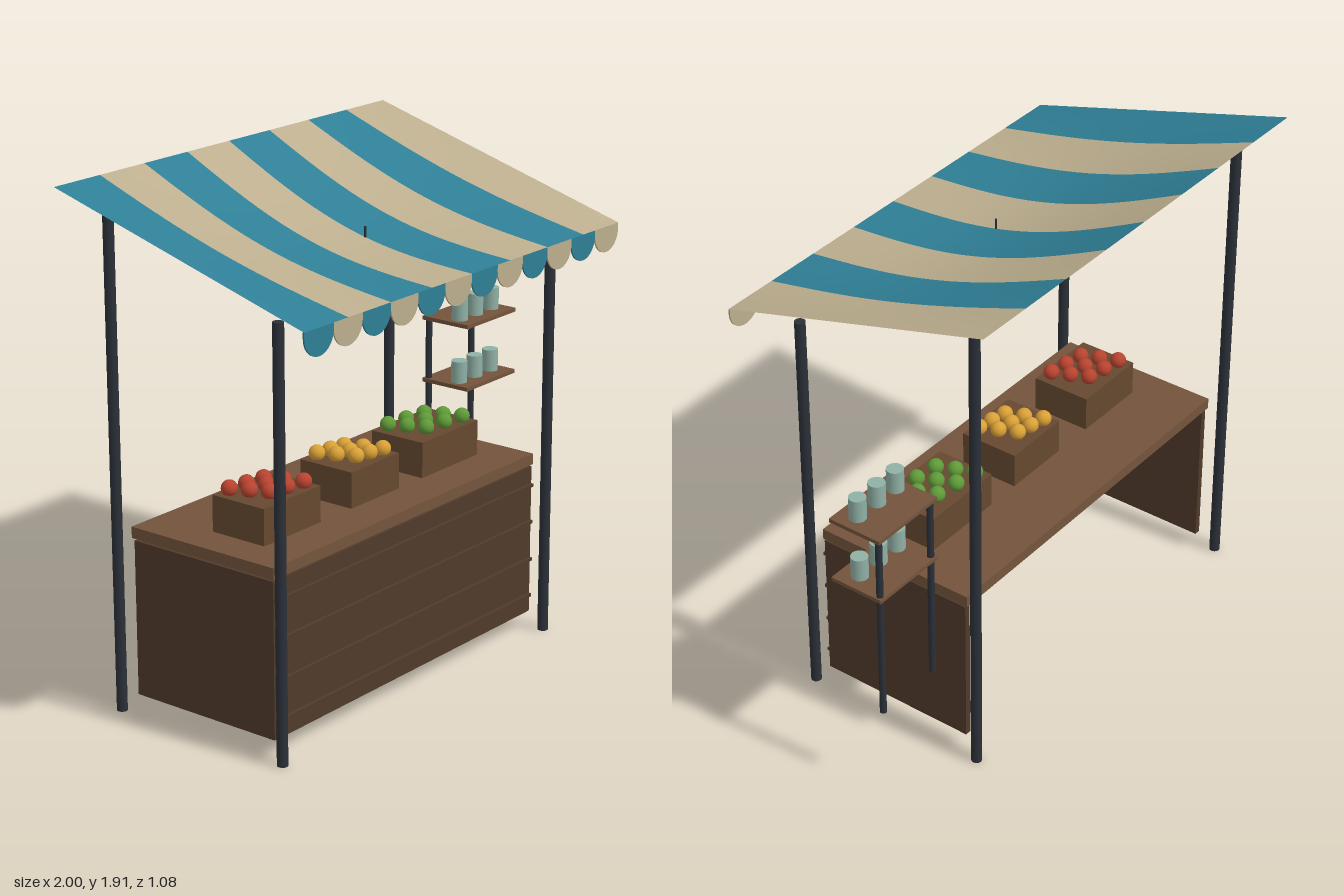
import * as THREE from 'three';

const mat = (color, side = THREE.FrontSide) =>
  new THREE.MeshStandardMaterial({ color, side });
const metal = mat(0x2b3038);
const darkWood = mat(0x503a2a);
const topWood = mat(0x74543c);
const crateWood = mat(0x66482f);
const teal = mat(0x2f7f96, THREE.DoubleSide);
const cream = mat(0xbcae8e, THREE.DoubleSide);
const jarGlaze = mat(0x8fb0a5);
const lampShade = mat(0xe6cb9a);

const CX = -0.11; // middle of the stall; the side shelf shifts it off x = 0

function add(parent, name, geometry, material, x = 0, y = 0, z = 0) {
  const mesh = new THREE.Mesh(geometry, material);
  mesh.name = name;
  mesh.position.set(x, y, z);
  parent.add(mesh);
  return mesh;
}

// Box given by its limits on each axis
function box(parent, name, material, [x0, x1], [y0, y1], [z0, z1]) {
  return add(parent, name, new THREE.BoxGeometry(x1 - x0, y1 - y0, z1 - z0), material,
    (x0 + x1) / 2, (y0 + y1) / 2, (z0 + z1) / 2);
}

// Upright cylinder from y0 to y1
function rod(parent, name, material, r, x, z, y0, y1, sides = 12) {
  return add(parent, name, new THREE.CylinderGeometry(r, r, y1 - y0, sides), material,
    x, (y0 + y1) / 2, z);
}

function group(parent, name) {
  const g = new THREE.Group();
  g.name = name;
  parent.add(g);
  return g;
}

// Striped cloth sloping to the front and sagging in the middle, with a scalloped hem
function buildCanopy(parent) {
  const canopy = group(parent, 'canopy');
  const x0 = -1, width = 1.78, zEdge = 0.54, yFront = 1.6, yBack = 1.907, sag = 0.08;
  const stripes = 8, scallops = 12;

  for (let i = 0; i < stripes; i++) {
    const geo = new THREE.PlaneGeometry(1, 1, 4, 20);
    const p = geo.attributes.position;
    for (let k = 0; k < p.count; k++) {
      const u = (i + p.getX(k) + 0.5) / stripes;
      const v = p.getY(k) + 0.5; // 0 front, 1 back
      const y = yFront + (yBack - yFront) * v - sag * Math.sin(Math.PI * u) * Math.sin(Math.PI * v);
      p.setXYZ(k, x0 + width * u, y, zEdge - 2 * zEdge * v);
    }
    geo.computeVertexNormals();
    add(canopy, 'canopyStripe', geo, i % 2 ? cream : teal);
  }

  const w = width / scallops, r = w / 2, drop = 0.021;
  const flap = new THREE.Shape();
  flap.moveTo(-r, 0);
  flap.lineTo(-r, -drop);
  flap.absarc(0, -drop, r, Math.PI, Math.PI * 2, false);
  flap.lineTo(r, 0);
  flap.closePath();
  const flapGeo = new THREE.ExtrudeGeometry(flap, { depth: 0.006, bevelEnabled: false, curveSegments: 12 });
  for (let i = 0; i < scallops; i++) {
    add(canopy, 'canopyScallop', flapGeo, i % 2 ? cream : teal, x0 + w * (i + 0.5), yFront, zEdge - 0.006);
  }
}

// Counter open at the back and below
function buildCounter(parent) {
  const counter = group(parent, 'counter');
  const body = [0.07, 0.65];
  box(counter, 'counterTop', topWood, [CX - 0.75, CX + 0.75], [0.658, 0.7], [-0.36, 0.283]);
  box(counter, 'frontPanel', darkWood, [CX - 0.74, CX + 0.74], body, [0.255, 0.28]);
  for (const s of [-1, 1]) {
    const x = CX + s * 0.735;
    box(counter, 'sidePanel', darkWood, [x - 0.0125, x + 0.0125], body, [-0.35, 0.279]);
  }
  for (const y of [0.14, 0.285, 0.435, 0.58]) {
    box(counter, 'frontBatten', darkWood, [CX - 0.74, CX + 0.74], [y - 0.006, y + 0.006], [0.278, 0.294]);
  }
}

// Crate heaped with three staggered rows of fruit
function buildCrate(parent, x, width, color) {
  const crate = group(parent, 'fruitCrate');
  const z = 0.01, half = width / 2;
  box(crate, 'crate', crateWood, [x - half, x + half], [0.7, 0.835], [z - 0.116, z + 0.116]);
  const fruit = new THREE.SphereGeometry(0.03, 16, 12);
  const skin = mat(color);
  const step = (width - 0.15) / 2;
  for (let row = -1; row <= 1; row++) {
    for (let col = -1; col <= 1; col++) {
      add(crate, 'fruit', fruit, skin,
        x + col * step + row * 0.03,
        0.856,
        z + row * 0.065 + col * 0.012);
    }
  }
}

// Two-tier side shelf with jars
function buildShelf(parent) {
  const shelf = group(parent, 'sideShelf');
  for (const x of [0.708, 0.982]) rod(shelf, 'shelfPost', metal, 0.0125, x, -0.258, 0.37, 1.11);
  for (const y of [0.86, 1.107]) {
    box(shelf, 'shelfBoard', topWood, [0.69, 1], [y, y + 0.015], [-0.275, -0.062]);
    for (const x of [0.738, 0.836, 0.937]) {
      rod(shelf, 'jar', jarGlaze, 0.031, x, -0.135, y + 0.015, y + 0.1, 16);
    }
  }
}

function buildLantern(parent) {
  const lantern = group(parent, 'lantern');
  const z = 0.08;
  rod(lantern, 'lanternCord', metal, 0.004, CX, z, 1.525, 1.692, 8);
  rod(lantern, 'lanternCap', metal, 0.068, CX, z, 1.512, 1.529, 20);
  rod(lantern, 'lanternShade', lampShade, 0.055, CX, z, 1.387, 1.513, 20);
}

export function createModel() {
  const stall = new THREE.Group();
  stall.name = 'marketStall';

  for (const s of [-1, 1]) {
    rod(stall, 'frontPost', metal, 0.02, CX + s * 0.768, 0.33, 0, 1.57);
    rod(stall, 'backPost', metal, 0.02, CX + s * 0.768, -0.412, 0, 1.855);
  }
  buildCanopy(stall);
  buildCounter(stall);
  buildCrate(stall, -0.57, 0.304, 0xb8432f);
  buildCrate(stall, -0.11, 0.274, 0xd9a036);
  buildCrate(stall, 0.333, 0.337, 0x5f9a38);
  buildShelf(stall);
  buildLantern(stall);
  return stall;
}
